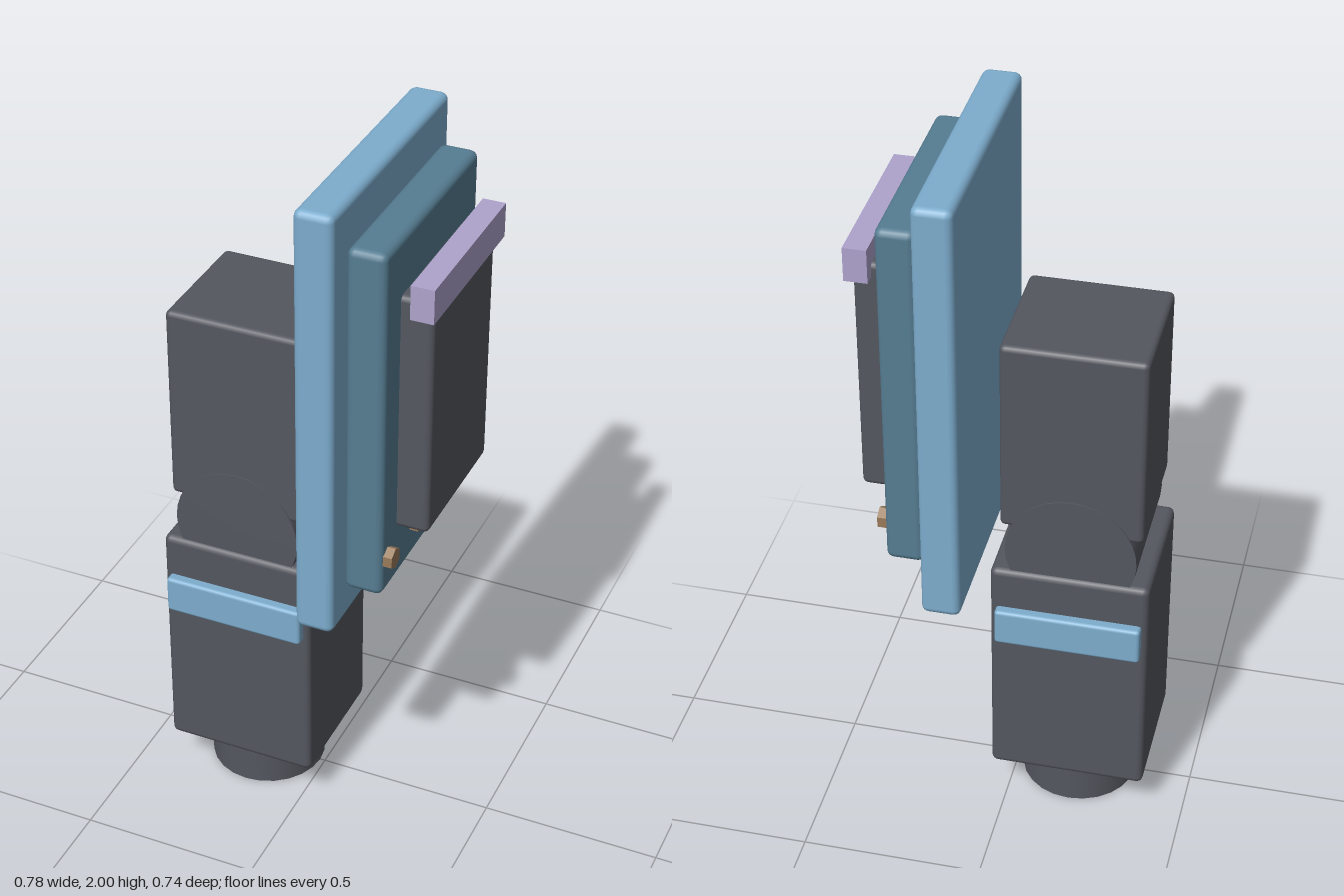
import * as THREE from 'three';
import { RoundedBoxGeometry } from 'three/addons/geometries/RoundedBoxGeometry.js';

export function createModel() {
  const group = new THREE.Group();
  const mat = (name, color) => {
    const m = new THREE.MeshStandardMaterial({ color });
    m.name = name;
    return m;
  };
  const charcoal = mat('charcoal', 0x54575f);
  const skyBlue = mat('sky blue', 0x7dadce);
  const steelBlue = mat('steel blue', 0x567d92);
  const lilac = mat('lilac', 0xaea3cc);
  const bronze = mat('bronze', 0x997a5a);

  const add = (name, geometry, material, x, y, z) => {
    const mesh = new THREE.Mesh(geometry, material);
    mesh.name = name;
    mesh.position.set(x, y, z);
    group.add(mesh);
    return mesh;
  };
  // Box from its x and y limits and half depth, with softened edges when r > 0
  const block = (name, material, x0, x1, y0, y1, halfZ, r) => {
    const size = [x1 - x0, y1 - y0, halfZ * 2];
    const geometry = r ? new RoundedBoxGeometry(...size, 2, r) : new THREE.BoxGeometry(...size);
    return add(name, geometry, material, (x0 + x1) / 2, (y0 + y1) / 2, 0);
  };

  // Arm: wrist, forearm, elbow joint, upper arm
  add('wrist', new THREE.CylinderGeometry(0.162, 0.162, 0.16, 24), charcoal, -0.177, 0.08, 0);
  block('forearm', charcoal, -0.392, 0.039, 0.127, 0.818, 0.194, 0.018);
  const elbow = add('elbow', new THREE.CylinderGeometry(0.177, 0.177, 0.366, 32), charcoal, -0.177, 0.888, 0);
  elbow.rotation.x = Math.PI / 2;
  block('upperArm', charcoal, -0.369, 0.015, 0.958, 1.519, 0.179, 0.015);

  // Band whose two ends stand out of the forearm front and back
  block('forearmBand', skyBlue, -0.375, 0.022, 0.589, 0.697, 0.222, 0.01);

  // Layered shield on the outer side
  block('shieldPlate', skyBlue, 0.077, 0.182, 0.782, 2.0, 0.369, 0.02);
  block('shieldPanel', steelBlue, 0.187, 0.291, 0.894, 1.89, 0.303, 0.02);
  block('shieldCore', charcoal, 0.27, 0.377, 1.053, 1.733, 0.206, 0.016);
  block('shieldBar', lilac, 0.328, 0.39, 1.695, 1.789, 0.239, 0);

  // Row of hexagonal bolts below the core
  for (let i = 0; i < 4; i++) {
    const geometry = new THREE.CylinderGeometry(0.03, 0.03, 0.05, 6, 1, false, Math.PI / 6).toNonIndexed();
    geometry.computeVertexNormals();
    const bolt = add('bolt', geometry, bronze, 0.289, 1.0, -0.264 + i * 0.176);
    bolt.rotation.z = Math.PI / 2;
  }
  return group;
}
